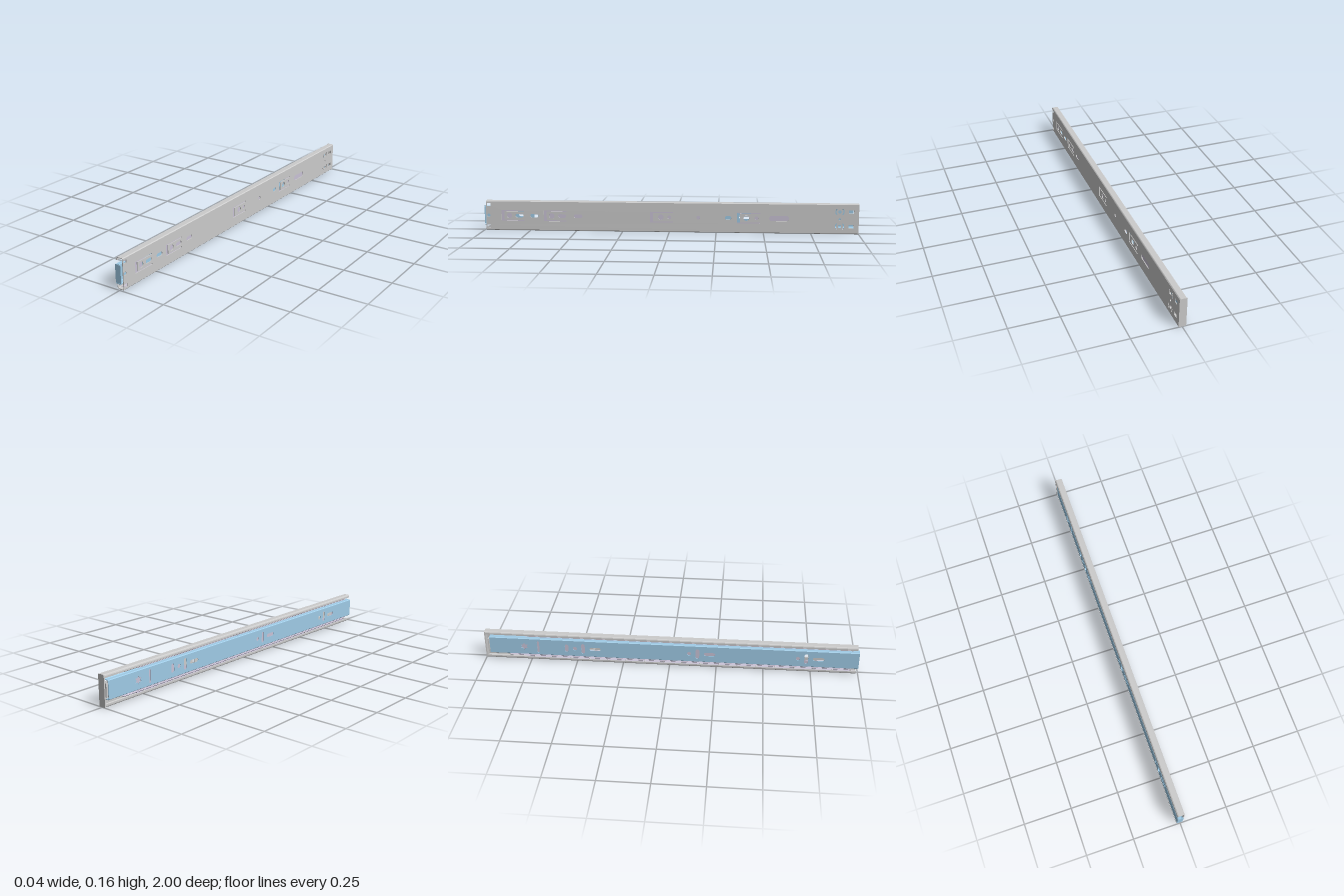
import * as THREE from 'three';

const H = 0.16, MID = H / 2;
const steel = new THREE.MeshStandardMaterial({ color: 0xcccccc });
const blue = new THREE.MeshStandardMaterial({ color: 0x9fcbe6 });
const lilac = new THREE.MeshStandardMaterial({ color: 0xc9c2d6 });

// Hole outlines, in plate coordinates (u = -z, v = y)
function slot(z, y, len, height) {
  const p = new THREE.Path(), r = Math.min(len, height) / 2;
  const a = len / 2 - r, b = height / 2 - r;
  if (a >= b) {
    p.absarc(-z + a, y, r, -Math.PI / 2, Math.PI / 2);
    p.absarc(-z - a, y, r, Math.PI / 2, Math.PI * 1.5);
  } else {
    p.absarc(-z, y + b, r, 0, Math.PI);
    p.absarc(-z, y - b, r, Math.PI, Math.PI * 2);
  }
  p.closePath();
  return p;
}
const round = (z, y, r) => new THREE.Path().absarc(-z, y, r, 0, Math.PI * 2);
const polygon = pts => new THREE.Path(pts.map(([z, y]) => new THREE.Vector2(-z, y)));
const rect = (z, y, w, h) => polygon([
  [z - w / 2, y - h / 2], [z + w / 2, y - h / 2], [z + w / 2, y + h / 2], [z - w / 2, y + h / 2]]);

// U-shaped cut that frees a spring tab; open towards -z
function tabCut(z0) {
  const z1 = z0 - 0.123, o = 0.029, i = 0.023, e = z0 - 0.016;
  return polygon([[z0, MID - o], [z0, MID + o], [z1, MID + o], [z1, MID + i],
    [e, MID + i], [e, MID - i], [z1, MID - i], [z1, MID - o]]);
}
function arcSlot(z, y, r, w, a0, a1) {
  const p = new THREE.Path();
  p.absarc(-z, y, r + w / 2, a0, a1, false);
  p.absarc(-z, y, r - w / 2, a1, a0, true);
  p.closePath();
  return p;
}
function star(z, y, r) {
  const pts = [];
  for (let i = 0; i < 12; i++) {
    const a = i * Math.PI / 6 + Math.PI / 2, q = i % 2 ? r * 0.55 : r;
    pts.push([z + q * Math.cos(a), y + q * Math.sin(a)]);
  }
  return polygon(pts);
}

// Flat web with holes, from x0 to x0 + t
function web(name, mat, x0, t, y0, y1, z0, z1, holes) {
  const s = new THREE.Shape([[-z1, y0], [-z0, y0], [-z0, y1], [-z1, y1]].map(p => new THREE.Vector2(...p)));
  s.holes.push(...holes);
  const g = new THREE.ExtrudeGeometry(s, { depth: t, bevelEnabled: false, curveSegments: 10 });
  g.rotateY(Math.PI / 2).translate(x0, 0, 0);
  const m = new THREE.Mesh(g, mat);
  m.name = name;
  return m;
}

// Bent sheet: centre line (x, y) thickened by t and run along z
function bentSheet(name, mat, line, t, z0, z1) {
  const P = line.map(p => new THREE.Vector2(...p));
  const normal = (a, b) => new THREE.Vector2(a.y - b.y, b.x - a.x).normalize();
  const sides = [[], []];
  P.forEach((p, i) => {
    const n0 = normal(P[Math.max(i - 1, 0)], P[Math.max(i, 1)]);
    const n1 = normal(P[Math.min(i, P.length - 2)], P[Math.min(i + 1, P.length - 1)]);
    const n = n0.clone().add(n1).normalize();
    n.multiplyScalar(t / 2 / n.dot(n0));
    sides[0].push(p.clone().add(n));
    sides[1].unshift(p.clone().sub(n));
  });
  const g = new THREE.ExtrudeGeometry(new THREE.Shape([...sides[0], ...sides[1]]),
    { depth: z1 - z0, bevelEnabled: false });
  const m = new THREE.Mesh(g.translate(0, 0, z0), mat);
  m.name = name;
  return m;
}

function box(name, mat, x0, x1, y0, y1, z0, z1) {
  const m = new THREE.Mesh(new THREE.BoxGeometry(x1 - x0, y1 - y0, z1 - z0), mat);
  m.position.set((x0 + x1) / 2, (y0 + y1) / 2, (z0 + z1) / 2);
  m.name = name;
  return m;
}

export function createModel() {
  const model = new THREE.Group();
  model.name = 'drawerSlide';
  const outer = new THREE.Group(), middle = new THREE.Group(), inner = new THREE.Group(), bearings = new THREE.Group();
  outer.name = 'outerRail';
  middle.name = 'middleRail';
  inner.name = 'innerRail';
  bearings.name = 'ballBearings';
  model.add(outer, middle, inner, bearings);

  // Outer rail web: spring tabs, mounting holes and slots
  const outerHoles = [
    ...[0.906, 0.676, 0.104, -0.36].map(tabCut),
    ...[0.863, 0.633, 0.045, -0.41].map(z => round(z, MID, 0.015)),
    slot(0.808, MID, 0.044, 0.02), slot(0.727, MID, 0.044, 0.02),
    slot(0.577, MID, 0.044, 0.02), slot(0.49, MID, 0.046, 0.02),
    round(0, MID, 0.01), round(-0.155, MID, 0.01), round(-0.463, MID, 0.01),
    slot(-0.313, MID, 0.034, 0.02), slot(-0.582, MID, 0.104, 0.029),
    round(0.976, MID, 0.009), round(-0.9, MID, 0.006),
  ];
  for (const s of [1, -1]) {
    const y = MID + s * 0.039;
    outerHoles.push(rect(0.975, MID + s * 0.059, 0.02, 0.016), rect(-0.96, y, 0.028, 0.018), round(-0.9, y, 0.009));
    // curved slots around each rear hole
    for (const a of [0, Math.PI])
      outerHoles.push(arcSlot(-0.9, y, 0.021, 0.006, a - 0.8, a + 0.8));
  }
  outer.add(web('outerWeb', steel, 0.014, 0.004, 0.008, 0.152, -1, 0.99, outerHoles));
  outer.add(box('rearStop', steel, -0.02, 0.018, 0.002, 0.158, -1, -0.994));

  // Middle rail web, cut away where fixing screws pass
  middle.add(web('middleWeb', lilac, 0.008, 0.003, 0.02, 0.14, -0.87, 0.95, [
    slot(0.77, MID, 0.16, 0.05), slot(-0.37, MID, 0.16, 0.05)]));

  // Inner rail web: groups of round, upright and long holes
  const innerHoles = [star(-0.786, MID, 0.023), slot(-0.71, MID, 0.012, 0.072), slot(-0.555, MID, 0.02, 0.046)];
  for (const z of [-0.51, 0.105, 0.68])
    innerHoles.push(round(z, MID, 0.011), slot(z + 0.044, MID, 0.02, 0.06), slot(z + 0.109, MID, 0.06, 0.02));
  inner.add(web('innerWeb', blue, -0.02, 0.003, 0.037, 0.123, -0.975, 1, innerHoles));
  inner.add(box('frontTab', blue, -0.02, 0.011, 0.035, 0.127, 0.995, 1));
  inner.add(box('rearTab', steel, -0.017, 0.004, 0.045, 0.115, -0.985, -0.98));

  // Flanges and ball rows, mirrored top and bottom
  for (const s of [1, -1]) {
    const side = s > 0 ? 'top' : 'bottom';
    const flip = pts => pts.map(([x, y]) => [x, s > 0 ? y : H - y]);
    outer.add(bentSheet(side + 'OuterFlange', steel, flip([
      [0.0163, 0.15], [0.0163, 0.1555], [0.0135, 0.1583], [-0.0125, 0.1583],
      [-0.0165, 0.156], [-0.0183, 0.152], [-0.0183, 0.144]]), 0.0034, -1, 0.99));
    middle.add(bentSheet(side + 'MiddleFlange', lilac, flip([
      [0.0095, 0.135], [0.0095, 0.14], [0.006, 0.1435], [-0.005, 0.1435], [-0.01, 0.139]]), 0.003, -0.87, 0.95));
    inner.add(bentSheet(side + 'InnerFlange', blue, flip([
      [-0.0185, 0.122], [-0.0185, 0.125], [-0.0155, 0.1275], [0.0, 0.1275], [0.005, 0.131]]), 0.003, -0.975, 1));

    // Balls: outer row and inner row, each held in a thin cage
    [[0.151, 0.0058, 0.965], [0.1355, 0.005, 0.955]].forEach(([y0, r, end], k) => {
      const y = s > 0 ? y0 : H - y0;
      const geo = new THREE.SphereGeometry(r, 12, 8);
      const count = 18;
      for (let i = 0; i < count; i++) {
        const ball = new THREE.Mesh(geo, steel);
        ball.name = 'ball';
        ball.position.set(-0.001, y, end - i * 0.1);
        bearings.add(ball);
      }
      bearings.add(box(k ? 'innerBallCage' : 'outerBallCage', lilac,
        -0.009, 0.008, y - 0.001, y + 0.001, -0.78, end + 0.01));
    });
  }
  return model;
}
